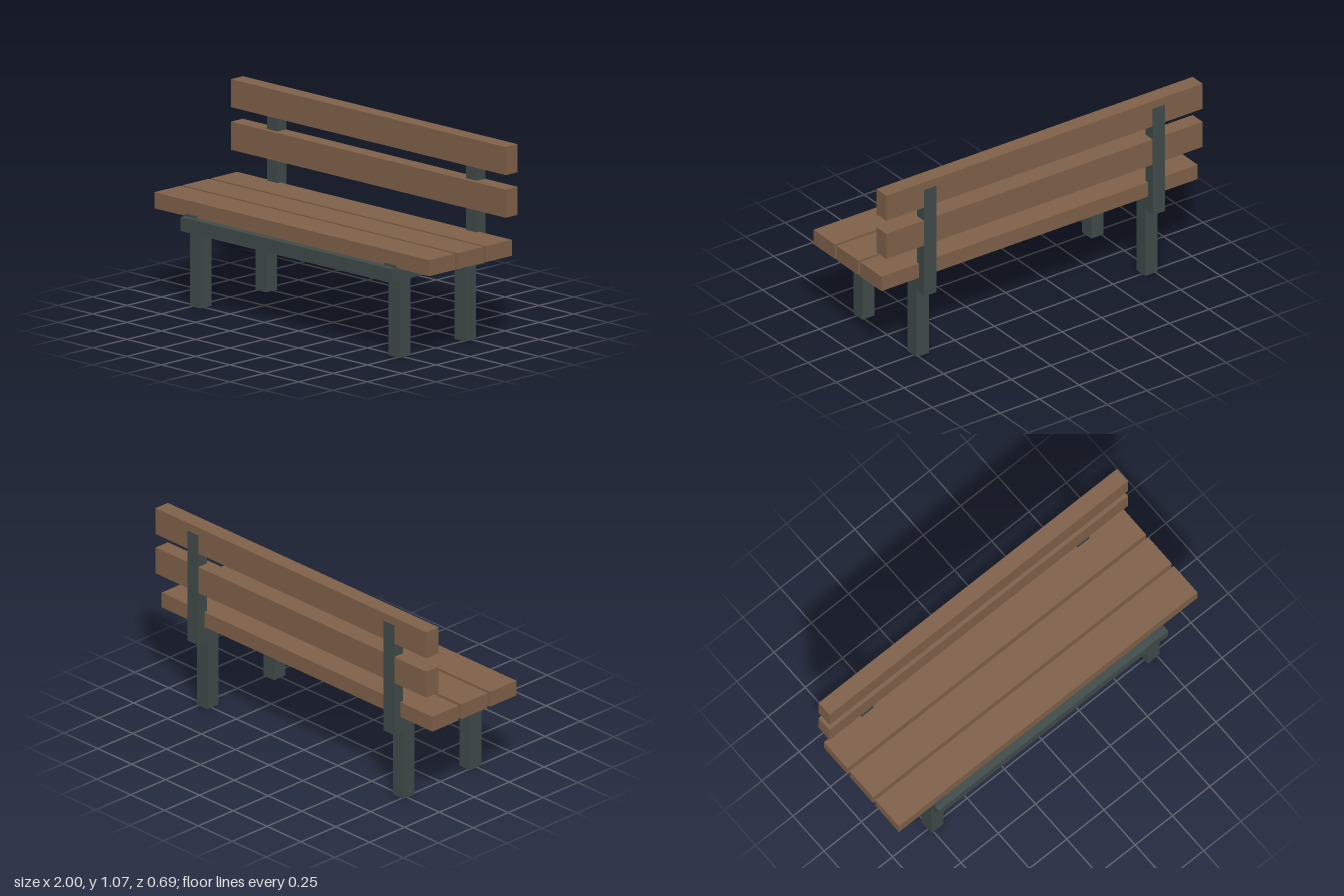
import * as THREE from 'three';

const wood = new THREE.MeshStandardMaterial({ color: 0x80624a });
const iron = new THREE.MeshStandardMaterial({ color: 0x404b4a });

export function createModel() {
  const bench = new THREE.Group();
  bench.name = 'bench';

  // Box given by its extents along each axis
  const addBox = (name, material, [x0, x1], [y0, y1], [z0, z1]) => {
    const mesh = new THREE.Mesh(new THREE.BoxGeometry(x1 - x0, y1 - y0, z1 - z0), material);
    mesh.position.set((x0 + x1) / 2, (y0 + y1) / 2, (z0 + z1) / 2);
    mesh.name = name;
    bench.add(mesh);
  };

  // Three seat planks
  for (const z of [0.207, 0.001, -0.206]) {
    addBox('seatPlank', wood, [-1, 1], [0.48, 0.565], [z - 0.094, z + 0.094]);
  }

  // Two backrest planks
  for (const y of [0.69, 0.916]) {
    addBox('backPlank', wood, [-1, 1], [y, y + 0.149], [-0.343, -0.256]);
  }

  // Mirrored side frames: legs, seat bearer and back upright
  for (const [side, x] of [['left', [0.685, 0.763]], ['right', [-0.763, -0.685]]]) {
    addBox(side + 'FrontLeg', iron, x, [0, 0.41], [0.2, 0.28]);
    addBox(side + 'RearLeg', iron, x, [0, 0.41], [-0.278, -0.198]);
    addBox(side + 'SeatBearer', iron, x, [0.41, 0.495], [-0.281, 0.313]);
    addBox(side + 'BackUpright', iron, x, [0.39, 1.02], [-0.344, -0.281]);
  }

  // Rail joining the side frames under the front edge
  addBox('frontRail', iron, [-0.768, 0.768], [0.409, 0.483], [0.281, 0.344]);

  return bench;
}
